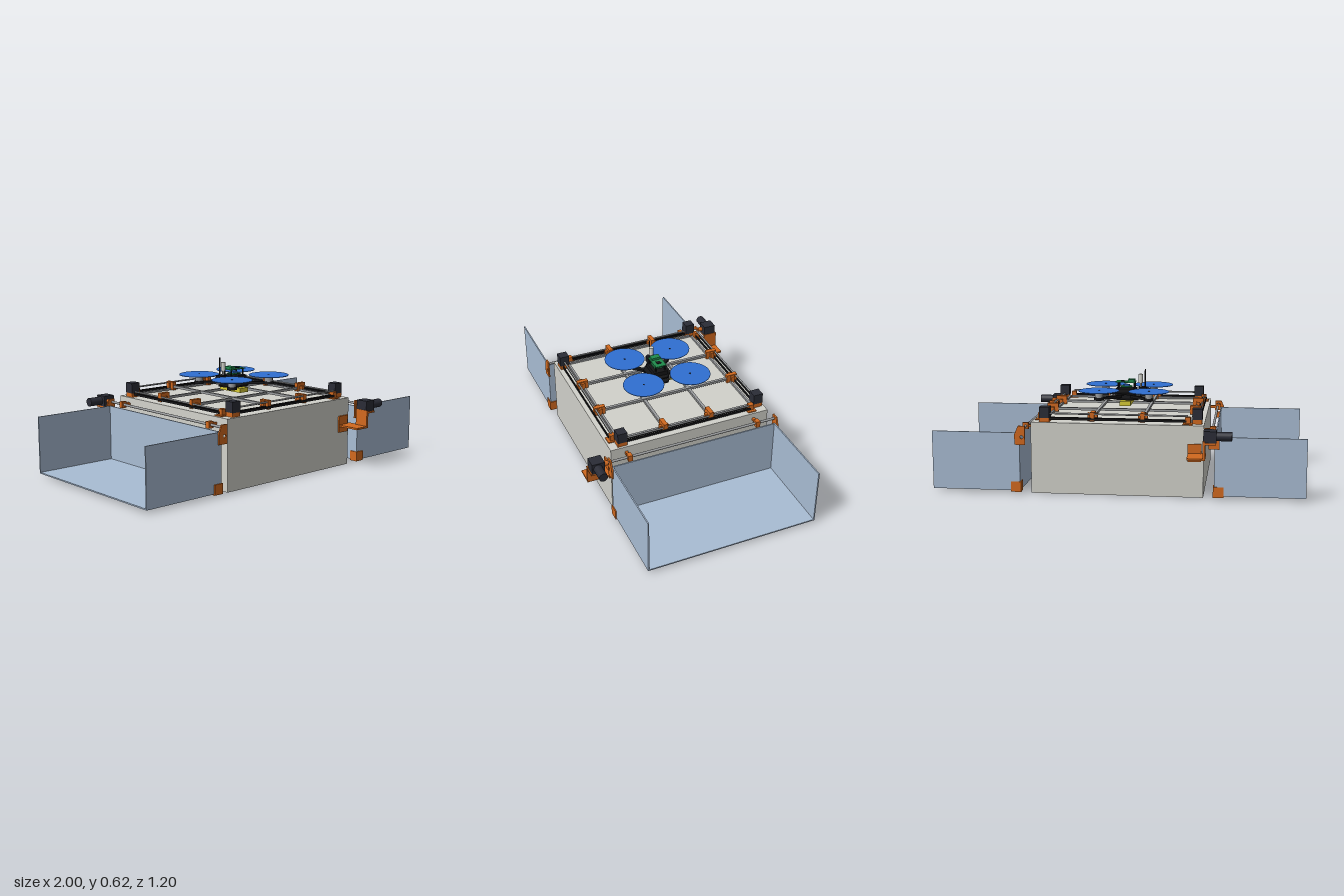
import * as THREE from 'three';

const mat = (name, color) => {
  const m = new THREE.MeshStandardMaterial({ color });
  m.name = name;
  return m;
};

export function createModel() {
  const shell = mat('shell grey', 0xd2d2cb), glass = mat('pale blue panel', 0xa9bdd4);
  const orange = mat('orange bracket', 0xd2691e), dark = mat('dark motor', 0x2a2c36);
  const black = mat('black', 0x151517), metal = mat('metal grey', 0x9a9c9e);
  const blue = mat('propeller blue', 0x2f6fd2), green = mat('board green', 0x1f8a4c);
  const yellow = mat('battery yellow', 0xd8cc35);

  const model = new THREE.Group();
  model.name = 'droneStation';
  const group = (name, parent = model) => {
    const g = new THREE.Group();
    g.name = name;
    parent.add(g);
    return g;
  };
  const add = (parent, name, geo, m, x = 0, y = 0, z = 0) => {
    const mesh = new THREE.Mesh(geo, m);
    mesh.name = name;
    mesh.position.set(x, y, z);
    parent.add(mesh);
    return mesh;
  };
  // Box given by its minimum and maximum on each axis
  const box = (parent, name, m, x0, x1, y0, y1, z0, z1) =>
    add(parent, name, new THREE.BoxGeometry(x1 - x0, y1 - y0, z1 - z0), m,
      (x0 + x1) / 2, (y0 + y1) / 2, (z0 + z1) / 2);
  // Cylinder centred at a point, along the named axis
  const cyl = (parent, name, m, r, len, x, y, z, axis = 'y', sides = 24) => {
    const g = new THREE.CylinderGeometry(r, r, len, sides);
    if (axis === 'x') g.rotateZ(Math.PI / 2);
    if (axis === 'z') g.rotateX(Math.PI / 2);
    return add(parent, name, g, m, x, y, z);
  };

  // Main housing, with a shallow recess under it
  const housing = group('housing');
  const B = 0.462, IN = 0.43;
  box(housing, 'housingBlock', shell, -B, B, 0.022, 0.387, -B, B);
  for (const s of [-1, 1]) {
    add(housing, 'baseRimLong', new THREE.BoxGeometry(2 * B, 0.022, B - IN), shell, 0, 0.011, s * (B + IN) / 2);
    add(housing, 'baseRimShort', new THREE.BoxGeometry(B - IN, 0.022, 2 * IN), shell, s * (B + IN) / 2, 0.011, 0);
  }

  // Folding side trays: floor, inner wall and two end walls, with hinges and drive
  for (let k = 0; k < 2; k++) {
    const side = group(k ? 'rightTray' : 'leftTray');
    side.rotation.y = k * Math.PI;
    box(side, 'trayFloor', glass, 0.52, 1, 0.015, 0.022, -0.48, 0.48);
    box(side, 'trayInnerWall', glass, 0.52, 0.527, 0.022, 0.332, -0.48, 0.48);
    for (const s of [-1, 1]) {
      add(side, 'trayEndWall', new THREE.BoxGeometry(0.473, 0.31, 0.007), glass, 0.7635, 0.177, s * 0.4765);

      // Upper hinge plate with a pivot hole
      const plate = new THREE.Shape();
      plate.moveTo(0.488, 0.268);
      plate.lineTo(0.545, 0.268);
      plate.lineTo(0.545, 0.325);
      plate.lineTo(0.525, 0.37);
      plate.lineTo(0.488, 0.37);
      plate.closePath();
      const hole = new THREE.Path();
      hole.absarc(0.506, 0.31, 0.009, 0, Math.PI * 2, true);
      plate.holes.push(hole);
      add(side, 'hingePlate', new THREE.ExtrudeGeometry(plate, { depth: 0.009, bevelEnabled: false }),
        orange, 0, 0, s * 0.486 - 0.0045);

      // Lower corner bracket
      add(side, 'cornerSide', new THREE.BoxGeometry(0.056, 0.055, 0.006), orange, 0.542, 0.037, s * 0.483);
      add(side, 'cornerFoot', new THREE.BoxGeometry(0.056, 0.006, 0.05), orange, 0.542, 0.0115, s * 0.461);
      add(side, 'cornerBack', new THREE.BoxGeometry(0.006, 0.055, 0.05), orange, 0.517, 0.037, s * 0.461);

      // Shaft bearing
      add(side, 'bearingArm', new THREE.BoxGeometry(0.06, 0.014, 0.016), orange, 0.472, 0.352, s * 0.375);
      add(side, 'bearingBlock', new THREE.BoxGeometry(0.032, 0.036, 0.024), orange, 0.507, 0.352, s * 0.375);
    }
    cyl(side, 'hingeShaft', metal, 0.007, 1.02, 0.505, 0.352, 0.02, 'z', 16);

    // Tray motor on its bracket
    box(side, 'mountPlate', orange, 0.378, 0.45, 0.195, 0.29, 0.462, 0.47);
    box(side, 'mountShelf', orange, 0.38, 0.475, 0.23, 0.24, 0.462, 0.6);
    box(side, 'mountWall', orange, 0.462, 0.475, 0.24, 0.33, 0.52, 0.6);
    box(side, 'motorShelf', orange, 0.475, 0.53, 0.312, 0.322, 0.525, 0.598);
    box(side, 'gearbox', dark, 0.465, 0.532, 0.322, 0.382, 0.522, 0.592);
    cyl(side, 'trayMotor', dark, 0.024, 0.08, 0.572, 0.352, 0.56, 'x');
    cyl(side, 'shaftCoupler', orange, 0.013, 0.025, 0.505, 0.352, 0.508, 'z');
  }

  // Four belt rails around the top, each turned a quarter
  for (let k = 0; k < 4; k++) {
    const rail = group('centringRail' + (k + 1));
    rail.rotation.y = k * Math.PI / 2;
    const lift = k % 2 ? 0 : 0.015;
    box(rail, 'railMotor', dark, -0.417, -0.363, 0.41, 0.468, 0.398, 0.452);
    box(rail, 'motorMount', orange, -0.417, -0.363, 0.387, 0.41, 0.4, 0.45);
    box(rail, 'idlerBlock', orange, 0.362, 0.39, 0.387, 0.425, 0.408, 0.436);
    box(rail, 'idlerBase', orange, 0.35, 0.4, 0.387, 0.393, 0.4, 0.45);
    for (const z of [0.414, 0.436])
      box(rail, 'belt', black, -0.37, 0.37, 0.398, 0.41, z - 0.003, z + 0.003);
    cyl(rail, 'guideRod', metal, 0.005, 0.75, 0, 0.416 + lift, 0.425, 'x', 12);
    box(rail, 'pusherBar', metal, -0.385, 0.385, 0.392, 0.403, 0.388, 0.4);
    // Sliding clamps that hold the cross bars
    for (const x of [-0.135, 0.135]) {
      box(rail, 'clamp', orange, x - 0.026, x + 0.026, 0.392, 0.42 + lift, 0.392, 0.412);
      box(rail, 'clampTongue', orange, x - 0.012, x + 0.012, 0.392, 0.44, 0.37, 0.432);
    }
  }

  // Crossed bars over the landing surface
  const bars = group('crossBars');
  for (const s of [-0.135, 0.135]) {
    box(bars, 'barAlong', metal, s - 0.008, s + 0.008, 0.406, 0.42, -0.39, 0.39);
    box(bars, 'barAcross', metal, -0.39, 0.39, 0.402, 0.416, s - 0.008, s + 0.008);
  }

  // Quadcopter
  const drone = group('drone');
  box(drone, 'battery', yellow, -0.03, 0.03, 0.422, 0.448, -0.086, 0.086);
  const deck = (name, y, sx, sz) => {
    const d = cyl(drone, name, black, 0.085, 0.008, 0, y, 0, 'y', 8);
    d.geometry.rotateY(Math.PI / 8);
    d.geometry.scale(sx, 1, sz);
  };
  deck('lowerDeck', 0.456, 1.15, 0.9);
  deck('upperDeck', 0.484, 1.1, 0.85);
  for (const sx of [-1, 1]) for (const sz of [-1, 1]) {
    const x = sx * 0.14, z = sz * 0.14;
    const arm = add(drone, 'arm', new THREE.BoxGeometry(0.16, 0.014, 0.022), black, x * 0.62, 0.469, z * 0.62);
    arm.rotation.y = -sx * sz * Math.PI / 4;
    cyl(drone, 'motorFoot', black, 0.027, 0.016, x, 0.469, z);
    cyl(drone, 'rotorMotor', metal, 0.022, 0.03, x, 0.492, z);
    cyl(drone, 'rotorAxle', black, 0.005, 0.012, x, 0.511, z, 'y', 12);
    cyl(drone, 'propellerDisc', blue, 0.113, 0.003, x, 0.514, z, 'y', 48);
    cyl(drone, 'standoff', black, 0.004, 0.068, sx * 0.045, 0.517, sz * 0.028, 'y', 8);
    cyl(drone, 'deckPost', metal, 0.005, 0.024, sx * 0.065, 0.47, sz * 0.05, 'y', 8);
  }
  // Electronics stack
  box(drone, 'controllerBody', black, -0.055, 0.06, 0.488, 0.512, -0.04, 0.04);
  box(drone, 'controllerBoard', green, -0.03, 0.03, 0.518, 0.524, -0.025, 0.025);
  box(drone, 'controllerCap', blue, -0.015, 0.015, 0.524, 0.534, -0.013, 0.013);
  box(drone, 'computerBoard', green, -0.05, 0.06, 0.546, 0.551, -0.033, 0.033);
  box(drone, 'computerPorts', green, -0.045, -0.01, 0.551, 0.564, -0.026, 0.026);
  box(drone, 'computerChip', black, 0.01, 0.032, 0.551, 0.554, -0.012, 0.012);
  // Camera, receiver and antenna at one end
  box(drone, 'sensorBracket', black, -0.115, -0.07, 0.488, 0.52, -0.022, 0.022);
  cyl(drone, 'sensorMast', metal, 0.006, 0.06, -0.08, 0.545, 0, 'y', 12);
  cyl(drone, 'receiver', shell, 0.013, 0.05, -0.08, 0.568, 0);
  cyl(drone, 'antenna', black, 0.004, 0.13, -0.106, 0.557, 0, 'y', 8);
  cyl(drone, 'cameraLens', dark, 0.011, 0.02, -0.123, 0.504, 0, 'x');

  return model;
}
